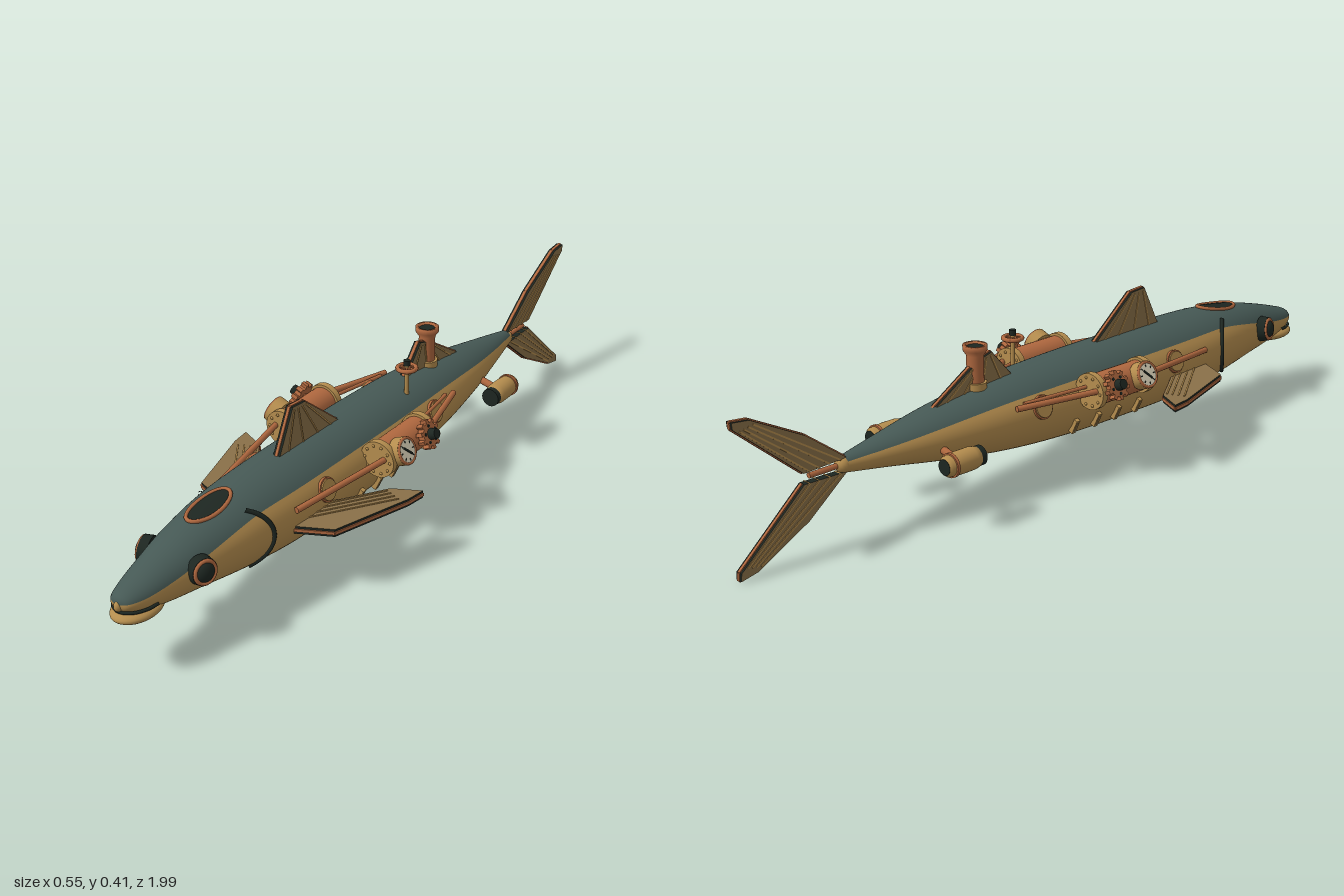
import * as THREE from 'three';

const mat = (name, color) => {
  const m = new THREE.MeshStandardMaterial({ color });
  m.name = name;
  return m;
};
const V = (x, y, z) => new THREE.Vector3(x, y, z);
const UP = V(0, 1, 0);

// Hull stations: z, half width, top, bottom
const STATIONS = [
  [0.985, 0.002, 0.203, 0.196], [0.972, 0.028, 0.219, 0.178], [0.93, 0.046, 0.234, 0.158],
  [0.85, 0.064, 0.257, 0.14], [0.75, 0.083, 0.28, 0.125], [0.6, 0.106, 0.299, 0.102],
  [0.42, 0.118, 0.304, 0.084], [0.2, 0.12, 0.302, 0.082], [0, 0.118, 0.298, 0.085],
  [-0.2, 0.108, 0.288, 0.1], [-0.4, 0.082, 0.266, 0.128], [-0.56, 0.05, 0.24, 0.156], [-0.69, 0.02, 0.218, 0.176],
];
const widths = new THREE.CatmullRomCurve3(STATIONS.map(s => V(s[0], s[1], 0)), false, 'catmullrom', 0.5);
const heights = new THREE.CatmullRomCurve3(STATIONS.map(s => V(s[2], s[3], 0)), false, 'catmullrom', 0.5);

// Point on the hull at curve parameter t and angle a (0 = left side, PI/2 = top)
function hullAt(t, a) {
  const w = widths.getPoint(t), h = heights.getPoint(t);
  return V(w.y * Math.cos(a), (h.x + h.y) / 2 + (h.x - h.y) / 2 * Math.sin(a), w.x);
}
function tOf(z) {
  let lo = 0, hi = 1;
  for (let i = 0; i < 30; i++) {
    const m = (lo + hi) / 2;
    if (widths.getPoint(m).x > z) lo = m; else hi = m;
  }
  return lo;
}
const onHull = (z, a) => hullAt(tOf(z), a);

// Angle of the paint line between upper and lower hull
function paintLine(z) {
  const k = THREE.MathUtils.smoothstep(z, 0.55, 0.95), r = THREE.MathUtils.smoothstep(-z, 0.2, 0.65);
  return THREE.MathUtils.degToRad(38 - 24 * k - 8 * r);
}

function hullSkin(range, segs) {
  const pos = [], idx = [], rows = 96;
  for (let i = 0; i <= rows; i++) {
    const t = i / rows, [a0, a1] = range(paintLine(widths.getPoint(t).x));
    for (let j = 0; j <= segs; j++) {
      pos.push(...hullAt(t, a0 + (a1 - a0) * j / segs).toArray());
      if (i < rows && j < segs) {
        const a = i * (segs + 1) + j, b = a + segs + 1;
        idx.push(a, b, a + 1, b, b + 1, a + 1);
      }
    }
  }
  const g = new THREE.BufferGeometry();
  g.setAttribute('position', new THREE.Float32BufferAttribute(pos, 3));
  g.setIndex(idx);
  g.computeVertexNormals();
  return g;
}

export function createModel() {
  const root = new THREE.Group();
  root.name = 'fishSubmarine';
  const brass = mat('brass', 0xb58d4e), teal = mat('tealPaint', 0x465955), copper = mat('copper', 0xb0683f);
  const dark = mat('darkIron', 0x1d2621), finTan = mat('finBronze', 0x8a7049), cream = mat('gaugeCream', 0xe6dcc2);

  const add = (name, geo, m, p = V(0, 0, 0), parent = root) => {
    const o = new THREE.Mesh(geo, m);
    o.name = name;
    o.position.copy(p);
    parent.add(o);
    return o;
  };
  // Cylinder centred on p with its axis along dir
  const disc = (name, r, h, m, p, dir = UP, r2 = r, n = 28) => {
    const o = add(name, new THREE.CylinderGeometry(r, r2, h, n), m, p);
    o.quaternion.setFromUnitVectors(UP, dir.clone().normalize());
    return o;
  };
  const rod = (name, a, b, r, m) =>
    disc(name, r, a.distanceTo(b), m, a.clone().add(b).multiplyScalar(0.5), b.clone().sub(a), r, 12);
  const tube = (name, pts, r, m, closed = false) =>
    add(name, new THREE.TubeGeometry(new THREE.CatmullRomCurve3(pts, closed), 48, r, 8, closed), m);
  const frame = (name, p, dir) => {
    const g = new THREE.Group();
    g.name = name;
    g.position.copy(p);
    g.quaternion.setFromUnitVectors(UP, dir.clone().normalize());
    root.add(g);
    return g;
  };

  // Hull
  add('upperHull', hullSkin(l => [l, Math.PI - l], 32), teal);
  add('lowerHull', hullSkin(l => [Math.PI - l, 2 * Math.PI + l], 40), brass);
  add('tailJoint', new THREE.SphereGeometry(0.021, 16, 12), brass, V(0, 0.197, -0.69));
  rod('tailStrut', V(0, 0.197, -0.68), V(0, 0.197, -0.79), 0.007, copper);

  // Mouth and nose
  add('lowerLip', new THREE.SphereGeometry(1, 32, 20), brass, V(0, 0.16, 0.918)).scale.set(0.052, 0.021, 0.072);
  const mouth = [];
  for (let i = 0; i <= 12; i++) {
    const a = Math.PI * i / 12;
    mouth.push(V(0.05 * Math.cos(a), 0.179, 0.905 + 0.073 * Math.sin(a)));
  }
  tube('mouthLine', mouth, 0.004, dark);
  add('nose', new THREE.SphereGeometry(1, 16, 12), brass, V(0, 0.194, 0.978)).scale.set(0.01, 0.014, 0.012);

  // Top hatch following the hull
  const rim = [], hatchPos = [], hatchIdx = [];
  const topPoint = (x, z, lift) => {
    const w = widths.getPoint(tOf(z)).y;
    return onHull(z, Math.acos(x / w)).add(V(0, lift, 0));
  };
  hatchPos.push(...topPoint(0, 0.66, 0.006).toArray());
  for (let i = 0; i < 32; i++) {
    const a = i / 32 * Math.PI * 2, p = topPoint(0.034 * Math.cos(a), 0.66 + 0.07 * Math.sin(a), 0.003);
    rim.push(p);
    hatchPos.push(...p.toArray());
    hatchIdx.push(0, 1 + (i + 1) % 32, 1 + i);
  }
  const hatch = new THREE.BufferGeometry();
  hatch.setAttribute('position', new THREE.Float32BufferAttribute(hatchPos, 3));
  hatch.setIndex(hatchIdx);
  hatch.computeVertexNormals();
  add('hatchWindow', hatch, dark);
  tube('hatchRim', rim, 0.005, copper, true);

  // Fins: outline starts at the front root and ends at the back root; f and b index the tip ends
  const fin = (name, pts, f, b, flat) => {
    const g = new THREE.Group();
    g.name = name;
    const geo = new THREE.ExtrudeGeometry(new THREE.Shape(pts.map(p => new THREE.Vector2(...p))),
      { depth: 0.02, bevelEnabled: false }).translate(0, 0, -0.01);
    add('finPlate', geo, [finTan, dark], undefined, g);
    const P = i => V(pts[i][0], pts[i][1], 0);
    for (const t of [0.15, 0.4, 0.65, 0.87]) {
      const a = P(0).lerp(P(pts.length - 1), t), e = P(f).lerp(P(b), t).lerp(a, 0.06);
      const rib = add('finRib', new THREE.BoxGeometry(a.distanceTo(e), 0.004, 0.024), brass, a.clone().add(e).multiplyScalar(0.5), g);
      rib.rotation.z = Math.atan2(e.y - a.y, e.x - a.x);
    }
    for (let i = 0; i < pts.length - 1; i++) {
      const a = P(i), e = P(i + 1);
      const edge = add('finEdge', new THREE.BoxGeometry(a.distanceTo(e), 0.006, 0.008), copper, a.clone().add(e).multiplyScalar(0.5), g);
      edge.rotation.z = Math.atan2(e.y - a.y, e.x - a.x);
    }
    if (flat) { g.rotation.x = Math.PI / 2; g.position.y = 0.178; } else g.rotation.y = -Math.PI / 2;
    root.add(g);
  };
  fin('dorsalFin', [[0.41, 0.285], [0.345, 0.412], [0.295, 0.408], [0.14, 0.285]], 1, 2);
  fin('rearDorsalFin', [[-0.14, 0.275], [-0.22, 0.363], [-0.265, 0.35], [-0.43, 0.25]], 1, 2);
  fin('upperTailFin', [[-0.685, 0.215], [-0.8, 0.3], [-0.95, 0.377], [-0.997, 0.382], [-0.995, 0.365], [-0.81, 0.21]], 2, 4);
  fin('lowerTailFin', [[-0.685, 0.18], [-0.8, 0.09], [-0.95, 0.012], [-0.997, 0.003], [-0.995, 0.022], [-0.81, 0.183]], 2, 4);

  // Funnel
  const funnel = [[0.022, 0.26], [0.022, 0.365], [0.031, 0.378], [0.031, 0.391], [0.023, 0.391], [0.019, 0.375], [0, 0.375]];
  add('funnel', new THREE.LatheGeometry(funnel.map(p => new THREE.Vector2(...p)), 28), copper, V(0, 0, -0.267));
  disc('funnelMouth', 0.022, 0.004, dark, V(0, 0.384, -0.267));
  disc('funnelBase', 0.029, 0.02, brass, V(0, 0.286, -0.267));

  // Valve wheel
  rod('valvePost', V(0.053, 0.25, -0.087), V(0.053, 0.362, -0.087), 0.006, brass);
  const wheel = add('valveWheel', new THREE.TorusGeometry(0.024, 0.006, 10, 28), copper, V(0.053, 0.355, -0.087));
  wheel.rotation.x = Math.PI / 2;
  for (let i = 0; i < 3; i++)
    add('valveSpoke', new THREE.BoxGeometry(0.058, 0.006, 0.006), copper, wheel.position).rotation.y = i * Math.PI / 3;
  disc('valveKnob', 0.009, 0.014, dark, V(0.053, 0.37, -0.087));

  for (const s of [1, -1]) {
    const side = a => (s > 0 ? a : Math.PI - a);
    fin('pectoralFin', [[0.09, 0.49], [0.11, 0.487], [0.2, 0.445], [0.265, 0.23], [0.272, 0.175], [0.2, 0.21], [0.09, 0.38]]
      .map(([x, z]) => [s * x, z]), 3, 5, true);

    // Eye
    const eye = frame('eye', V(s * 0.079, 0.213, 0.787), V(s, 0.12, 0.3));
    add('eyeSocket', new THREE.CylinderGeometry(0.033, 0.036, 0.024, 28), dark, V(0, 0.002, 0), eye);
    add('eyeRim', new THREE.TorusGeometry(0.027, 0.005, 10, 28), copper, V(0, 0.014, 0), eye).rotation.x = Math.PI / 2;
    add('eyeLens', new THREE.SphereGeometry(0.025, 24, 10, 0, Math.PI * 2, 0, Math.PI / 2), dark, V(0, 0.012, 0), eye).scale.y = 0.6;

    // Gill band
    const gill = [];
    for (let i = 0; i <= 10; i++) {
      const k = i / 5 - 1;
      gill.push(onHull(0.56 + 0.05 * k * k, side(0.03 + 0.87 * k)));
    }
    tube('gillBand', gill, 0.006, dark);

    // Boiler with riveted end flanges
    const axis = V(0, 0, 1), bx = s * 0.146, by = 0.24;
    disc('boiler', 0.041, 0.18, copper, V(bx, by, 0.085), axis);
    for (const z of [-0.003, 0.178]) {
      disc('boilerFlange', 0.048, 0.018, brass, V(bx, by, z), axis);
      for (let i = 0; i < 10; i++) {
        const a = i * Math.PI / 5;
        add('rivet', new THREE.SphereGeometry(0.004, 8, 6), brass,
          V(bx + 0.037 * Math.cos(a), by + 0.037 * Math.sin(a), z + (z > 0.1 ? 0.009 : -0.009)));
      }
    }
    // Steam pipes with hull bosses
    rod('frontPipe', V(s * 0.115, 0.229, 0.48), V(s * 0.168, 0.246, 0.17), 0.008, copper);
    rod('rearPipe', V(s * 0.172, 0.246, 0), V(s * 0.108, 0.24, -0.23), 0.008, copper);
    rod('innerRearPipe', V(s * 0.135, 0.25, 0), V(s * 0.102, 0.245, -0.2), 0.005, copper);
    for (const z of [0.355, -0.14]) {
      const p = onHull(z, side(0.3)), d = V(s, 0.3, 0);
      disc('hullBoss', 0.027, 0.016, brass, p, d);
      disc('bossRim', 0.031, 0.008, copper, p, d);
    }

    // Gauge
    const out = V(s * 0.93, 0.37, 0);
    const gauge = frame('gauge', V(s * 0.19, 0.257, 0.142), out);
    add('gaugeCase', new THREE.CylinderGeometry(0.036, 0.036, 0.028, 28), brass, undefined, gauge);
    add('gaugeFace', new THREE.CylinderGeometry(0.029, 0.029, 0.004, 28), cream, V(0, 0.015, 0), gauge);
    add('gaugeRim', new THREE.TorusGeometry(0.032, 0.004, 8, 28), copper, V(0, 0.015, 0), gauge).rotation.x = Math.PI / 2;
    add('gaugeNeedle', new THREE.BoxGeometry(0.034, 0.003, 0.005), dark, V(0, 0.018, 0), gauge).rotation.y = 0.8;
    for (let i = 0; i < 8; i++) {
      const a = i * Math.PI / 4;
      add('gaugeTick', new THREE.BoxGeometry(0.006, 0.002, 0.003), dark, V(0.023 * Math.cos(a), 0.017, -0.023 * Math.sin(a)), gauge).rotation.y = a;
    }

    // Gear
    const gear = frame('gear', V(s * 0.196, 0.258, 0.033), out);
    add('gearWheel', new THREE.CylinderGeometry(0.03, 0.03, 0.018, 28), copper, undefined, gear);
    add('gearAxle', new THREE.CylinderGeometry(0.01, 0.01, 0.06, 16), copper, V(0, -0.025, 0), gear);
    add('gearHub', new THREE.CylinderGeometry(0.013, 0.015, 0.02, 16), dark, V(0, 0.018, 0), gear);
    for (let i = 0; i < 10; i++) {
      const a = i * Math.PI / 5;
      add('gearTooth', new THREE.BoxGeometry(0.013, 0.018, 0.01), copper, V(0.032 * Math.cos(a), 0, -0.032 * Math.sin(a)), gear).rotation.y = a;
      if (i % 2) add('gearHole', new THREE.CylinderGeometry(0.004, 0.004, 0.002, 10), dark, V(0.022 * Math.cos(a), 0.0095, -0.022 * Math.sin(a)), gear);
    }

    // Vents along the lower hull
    for (const z of [0.21, 0.13, 0.055, -0.025]) {
      const p = onHull(z, side(-0.48));
      const vent = add('vent', new THREE.BoxGeometry(0.02, 0.042, 0.013), brass, p);
      vent.rotation.z = -s * 0.45;
      const slot = add('ventSlot', new THREE.BoxGeometry(0.022, 0.032, 0.006), finTan, p);
      slot.rotation.z = -s * 0.45;
    }

    // Rear thruster
    const tx = s * 0.135, ty = 0.17;
    const pod = [[0.02, -0.495], [0.026, -0.488], [0.029, -0.45], [0.029, -0.41], [0.026, -0.395], [0.018, -0.39]];
    const body = add('thruster', new THREE.LatheGeometry(pod.map(p => new THREE.Vector2(...p)), 28), brass, V(tx, ty, 0));
    body.rotation.x = Math.PI / 2;
    disc('thrusterIntake', 0.025, 0.024, dark, V(tx, ty, -0.391), axis);
    disc('thrusterNozzle', 0.02, 0.006, dark, V(tx, ty, -0.493), axis);
    disc('thrusterBand', 0.0305, 0.008, copper, V(tx, ty, -0.475), axis);
    rod('thrusterStrut', V(s * 0.05, 0.187, -0.44), V(s * 0.115, ty, -0.44), 0.01, copper);
  }
  return root;
}
